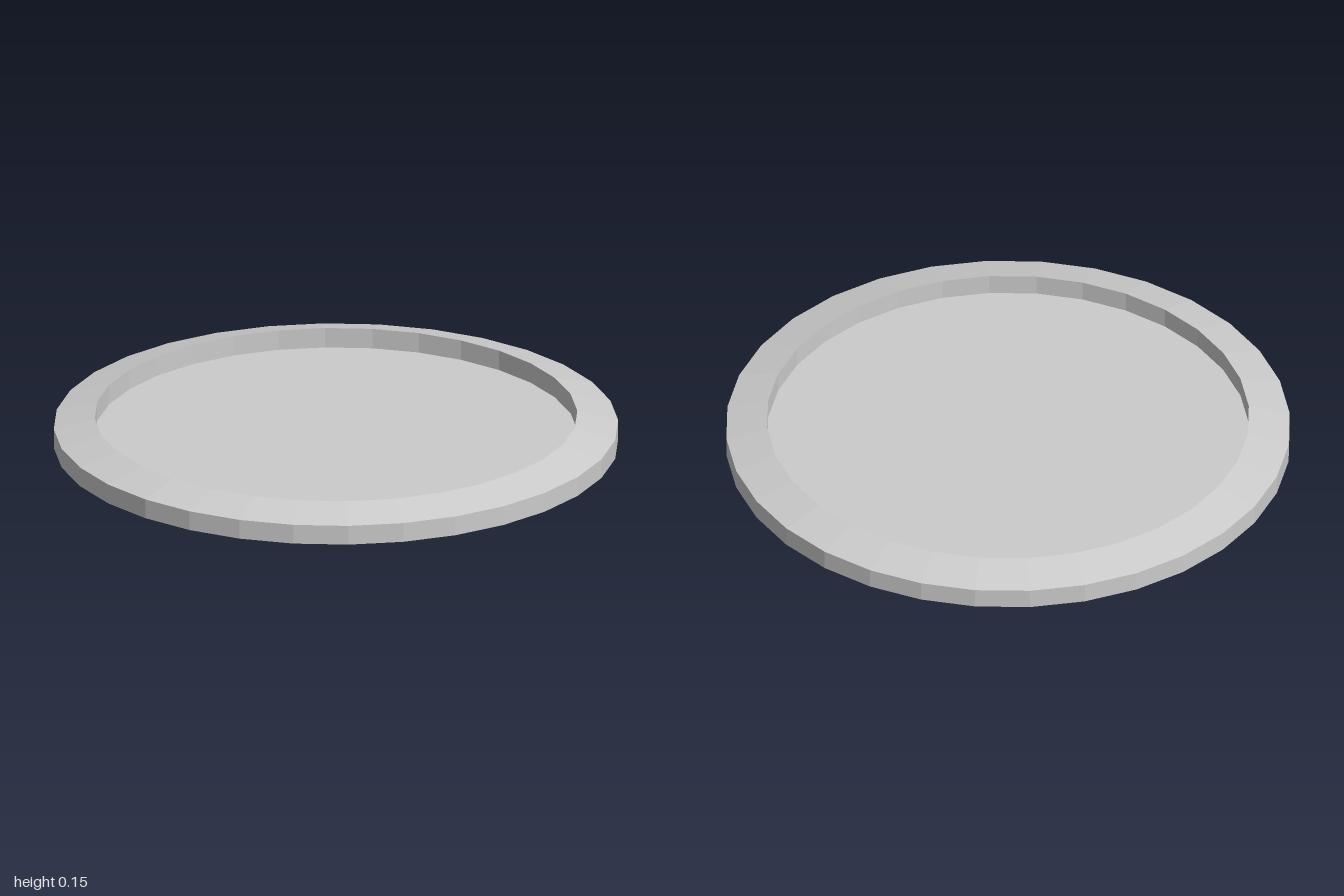
import * as THREE from 'three';

const SIDES = 32;
const INNER = 0.855;
const HEIGHT = 0.147;

export function createModel() {
  const group = new THREE.Group();
  group.name = 'rimmedDisc';

  // Bevelled rim: closed cross-section swept around the vertical axis
  const profile = [
    [INNER, 0], [1, 0.038], [1, HEIGHT - 0.038], [INNER, HEIGHT], [INNER, 0],
  ].map(([r, y]) => new THREE.Vector2(r, y));
  const rim = new THREE.Mesh(
    new THREE.LatheGeometry(profile, SIDES),
    new THREE.MeshStandardMaterial({ color: 0xcccccc, flatShading: true })
  );
  rim.name = 'rim';
  group.add(rim);

  // Thin plate halfway up, recessed from both faces
  const plate = new THREE.Mesh(
    new THREE.CircleGeometry(INNER, SIDES).rotateX(-Math.PI / 2),
    new THREE.MeshStandardMaterial({ color: 0xcccccc, flatShading: true, side: THREE.DoubleSide })
  );
  plate.name = 'plate';
  plate.position.y = HEIGHT / 2;
  group.add(plate);

  return group;
}
